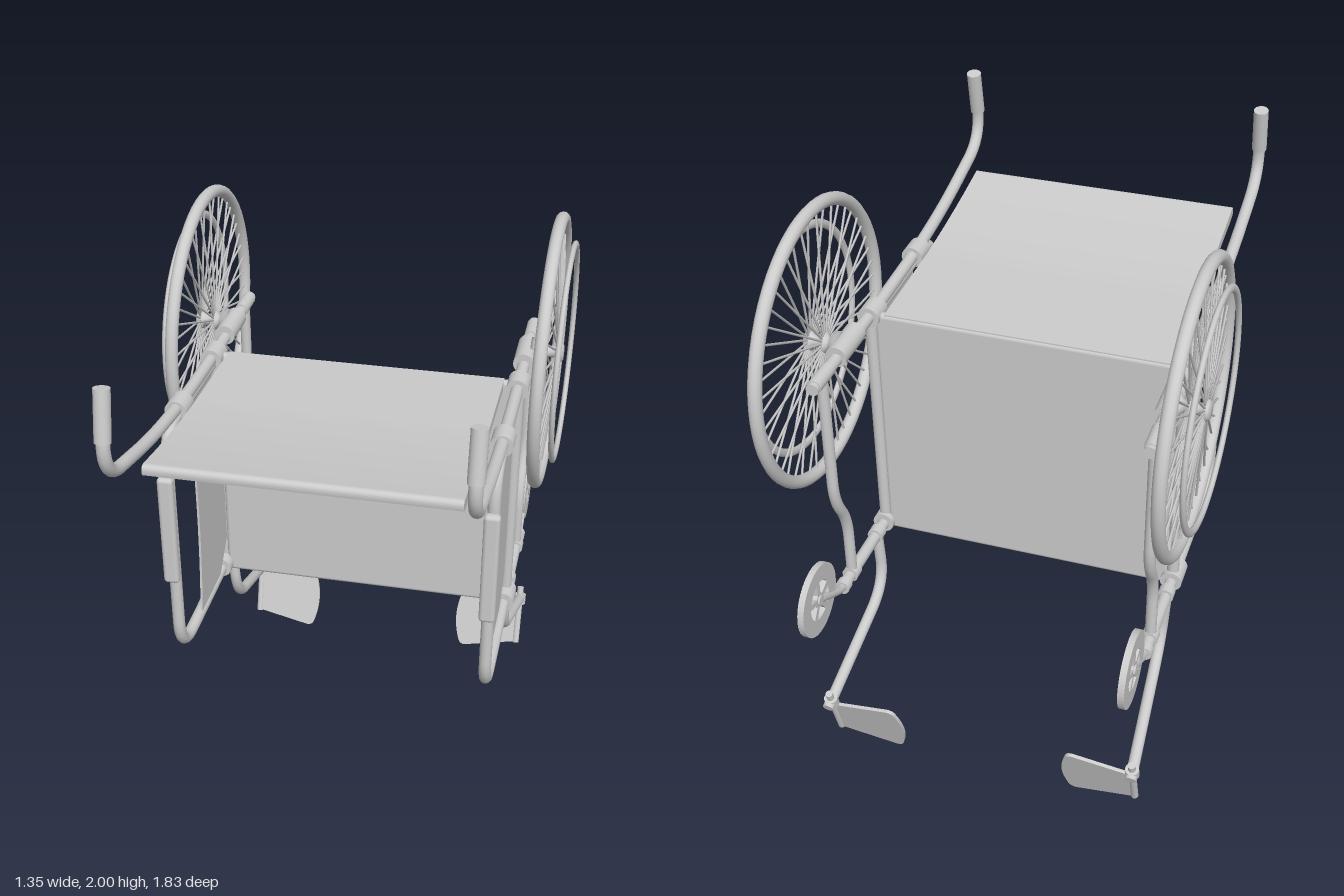
import * as THREE from 'three';
import { RoundedBoxGeometry } from 'three/addons/geometries/RoundedBoxGeometry.js';

const grey = new THREE.MeshStandardMaterial({ color: 0xcccccc });
const sheet = new THREE.MeshStandardMaterial({ color: 0xcccccc, side: THREE.DoubleSide });
const V = (x, y, z) => new THREE.Vector3(x, y, z);

function add(parent, name, geometry, x = 0, y = 0, z = 0, material = grey) {
  const mesh = new THREE.Mesh(geometry, material);
  mesh.name = name;
  mesh.position.set(x, y, z);
  parent.add(mesh);
  return mesh;
}

// Capped straight cylinder between two points
function rod(parent, name, a, b, r, sides = 16, r2 = r) {
  const mesh = add(parent, name, new THREE.CylinderGeometry(r2, r, a.distanceTo(b), sides));
  mesh.position.copy(a).lerp(b, 0.5);
  mesh.quaternion.setFromUnitVectors(V(0, 1, 0), b.clone().sub(a).normalize());
  return mesh;
}

// Bent pipe: straight runs joined by rounded corners, closed at the ends
function pipe(parent, name, pts, r, bend = 0.1, segments = 72) {
  const path = new THREE.CurvePath();
  let from = pts[0];
  for (let i = 1; i < pts.length - 1; i++) {
    const p = pts[i];
    const toward = (q) => p.clone().add(q.clone().sub(p).setLength(Math.min(bend, p.distanceTo(q) * 0.49)));
    const a = toward(pts[i - 1]), b = toward(pts[i + 1]);
    path.add(new THREE.LineCurve3(from, a));
    path.add(new THREE.QuadraticBezierCurve3(a, p, b));
    from = b;
  }
  const last = pts[pts.length - 1];
  path.add(new THREE.LineCurve3(from, last));
  const group = new THREE.Group();
  group.name = name;
  parent.add(group);
  add(group, name + 'Tube', new THREE.TubeGeometry(path, segments, r, 14));
  [[pts[0], pts[1]], [last, pts[pts.length - 2]]].forEach(([end, inner]) => {
    const cap = add(group, name + 'Cap', new THREE.CircleGeometry(r, 14));
    cap.position.copy(end);
    cap.quaternion.setFromUnitVectors(V(0, 0, 1), end.clone().sub(inner).normalize());
  });
}

// Spoked drive wheel with its hand rim and hub
function driveWheel(s) {
  const wheel = new THREE.Group();
  wheel.name = 'driveWheel';
  wheel.position.set(0, 1.52, -0.42);
  const ring = (name, x, R, r, squash) => {
    const g = new THREE.TorusGeometry(R, r, 12, 64);
    g.scale(1, 1, squash);
    g.rotateY(Math.PI / 2);
    add(wheel, name, g, s * x);
  };
  ring('tyre', 0.615, 0.459, 0.022, 1);
  ring('handRim', 0.666, 0.373, 0.014, 0.7);
  const hub = [[0, 0.55], [0.045, 0.55], [0.042, 0.565], [0.022, 0.575], [0.022, 0.585], [0.034, 0.592],
    [0.034, 0.602], [0.02, 0.61], [0.02, 0.635], [0.034, 0.64], [0.034, 0.655], [0.026, 0.664], [0, 0.664]];
  const hubMesh = add(wheel, 'hub', new THREE.LatheGeometry(hub.map(([r, x]) => new THREE.Vector2(r, x)), 24));
  hubMesh.rotation.z = -s * Math.PI / 2;
  const N = 48;
  for (let i = 0; i < N; i++) {
    const a = (i / N) * Math.PI * 2, c = Math.cos(a), d = Math.sin(a);
    rod(wheel, 'spoke', V(s * (i % 2 ? 0.597 : 0.647), c * 0.025, d * 0.025),
      V(s * 0.615, c * 0.45, d * 0.45), 0.0042, 5);
  }
  return wheel;
}

// Small front wheel with five wedge openings
function casterGeometry() {
  const disc = new THREE.Shape().absarc(0, 0, 0.128, 0, Math.PI * 2);
  for (let i = 0; i < 5; i++) {
    const a = (i / 5) * Math.PI * 2 + 0.3, hole = new THREE.Path();
    hole.absarc(0, 0, 0.07, a + 0.16, a + 1.1, false);
    hole.absarc(0, 0, 0.026, a + 0.9, a + 0.36, true);
    hole.closePath();
    disc.holes.push(hole);
  }
  const g = new THREE.ExtrudeGeometry(disc, { depth: 0.022, bevelEnabled: false, curveSegments: 24 });
  return g.translate(0, 0, -0.011).rotateY(Math.PI / 2);
}

// Everything on one side of the chair; s is +1 for left, -1 for right
function buildSide(s) {
  const side = new THREE.Group();
  side.name = s > 0 ? 'leftSide' : 'rightSide';
  const X = 0.535;
  const path = (list, x = X) => list.map(([z, y, px = x]) => V(s * px, y, z));
  const sleeve = (name, z0, z1, y, r) => rod(side, name, V(s * X, y, z0), V(s * X, y, z1), r, 20);

  // Frame tubes
  pipe(side, 'backTube', path([[0.865, 1.9], [0.915, 1.64], [0.51, 1.55], [0.2, 1.515], [-0.18, 1.502], [-0.665, 1.508]]), 0.021, 0.14);
  rod(side, 'handGrip', V(s * X, 1.915, 0.862), V(s * X, 1.755, 0.893), 0.026, 18);
  pipe(side, 'armTube', path([[0.2, 1.495], [0.375, 1.49], [0.375, 0.62], [-0.18, 0.627], [-0.59, 0.637]]), 0.021, 0.13);
  rod(side, 'upperRail', V(s * X, 1.495, 0.22), V(s * X, 1.485, -0.2), 0.02);
  rod(side, 'seatTube', V(s * X, 1.5, -0.195), V(s * X, 0.63, -0.195), 0.021);
  pipe(side, 'frontTube', path([[-0.59, 1.51], [-0.59, 1.01], [-0.51, 0.88], [-0.51, 0.637]]), 0.019, 0.08);
  add(side, 'armPad', new RoundedBoxGeometry(0.054, 0.41, 0.036, 3, 0.014), s * X, 1.145, 0.407);

  // Clamps and sleeves
  sleeve('backClamp', 0.18, 0.26, 1.512, 0.038);
  sleeve('seatClamp', -0.22, -0.14, 1.502, 0.038);
  sleeve('axleSleeve', -0.48, -0.32, 1.512, 0.036);
  sleeve('endSleeve', -0.65, -0.54, 1.508, 0.024);
  sleeve('lowerClamp', -0.225, -0.13, 0.632, 0.038);
  sleeve('legClamp', -0.305, -0.265, 0.632, 0.028);
  sleeve('frontClamp', -0.53, -0.488, 0.637, 0.028);
  sleeve('casterJoint', -0.6, -0.57, 0.637, 0.026);

  // Wheels
  side.add(driveWheel(s));
  add(side, 'caster', casterGeometry(), s * 0.537, 0.743, -0.782);
  pipe(side, 'casterArm', path([[-0.58, 0.637], [-0.62, 0.645], [-0.782, 0.743]]), 0.015, 0.03, 20);
  rod(side, 'casterHub', V(s * 0.52, 0.743, -0.782), V(s * 0.554, 0.743, -0.782), 0.018);

  // Leg rest and foot plate
  pipe(side, 'legTube', path([[-0.284, 0.63, 0.535], [-0.284, 0.4, 0.523], [-0.77, 0.213, 0.55]]), 0.02, 0.12);
  const foot = new THREE.Group();
  foot.name = 'footRest';
  foot.position.set(0, 0.122, -0.708);
  foot.rotation.x = -0.305;
  side.add(foot);
  add(foot, 'footPost', new THREE.CylinderGeometry(0.013, 0.013, 0.24, 14), s * 0.548, 0.035, 0);
  add(foot, 'footClamp', new THREE.CylinderGeometry(0.024, 0.024, 0.04, 16), s * 0.548, 0.105, 0);
  const p = new THREE.Shape();
  p.moveTo(s * 0.55, 0.083);
  p.lineTo(s * 0.34, 0.122);
  p.quadraticCurveTo(s * 0.315, 0.125, s * 0.308, 0.095);
  p.quadraticCurveTo(s * 0.278, 0, s * 0.308, -0.095);
  p.quadraticCurveTo(s * 0.315, -0.125, s * 0.34, -0.122);
  p.lineTo(s * 0.55, -0.08);
  p.closePath();
  add(foot, 'footPlate', new THREE.ExtrudeGeometry(p, { depth: 0.012, bevelEnabled: false }), 0, 0, -0.006);

  // Side guard with a hollowed rear edge and cut corners; shape x runs along -z
  const guard = new THREE.Shape();
  guard.moveTo(-0.15, 1.48);
  guard.bezierCurveTo(-0.12, 1.22, -0.115, 0.9, -0.157, 0.635);
  guard.lineTo(0.07, 0.635);
  guard.lineTo(0.19, 0.755);
  guard.lineTo(0.19, 1.385);
  guard.lineTo(0.07, 1.49);
  guard.closePath();
  const g = new THREE.ExtrudeGeometry(guard, { depth: 0.008, bevelEnabled: false });
  g.translate(0, 0, -0.004).rotateY(Math.PI / 2);
  add(side, 'sideGuard', g, s * 0.525, 0, 0, sheet);
  return side;
}

export function createModel() {
  const model = new THREE.Group();
  model.name = 'wheelchair';
  model.add(buildSide(1), buildSide(-1));

  // Seat cloth stretched between the seat tubes
  add(model, 'seat', new RoundedBoxGeometry(1.04, 0.91, 0.034, 3, 0.015), 0, 1.057, -0.188);

  // Back cloth: a thin slab following the back tubes, shape x runs along -z
  const back = new THREE.Shape();
  back.moveTo(0.2, 1.513);
  back.lineTo(-0.2, 1.527);
  back.quadraticCurveTo(-0.45, 1.545, -0.72, 1.593);
  back.quadraticCurveTo(-0.745, 1.594, -0.738, 1.562);
  back.quadraticCurveTo(-0.72, 1.55, -0.66, 1.545);
  back.quadraticCurveTo(-0.4, 1.51, -0.2, 1.497);
  back.lineTo(0.2, 1.478);
  back.closePath();
  const g = new THREE.ExtrudeGeometry(back, { depth: 0.97, bevelEnabled: false, curveSegments: 10 });
  g.translate(0, 0, -0.485).rotateY(Math.PI / 2);
  add(model, 'backrest', g);
  return model;
}
